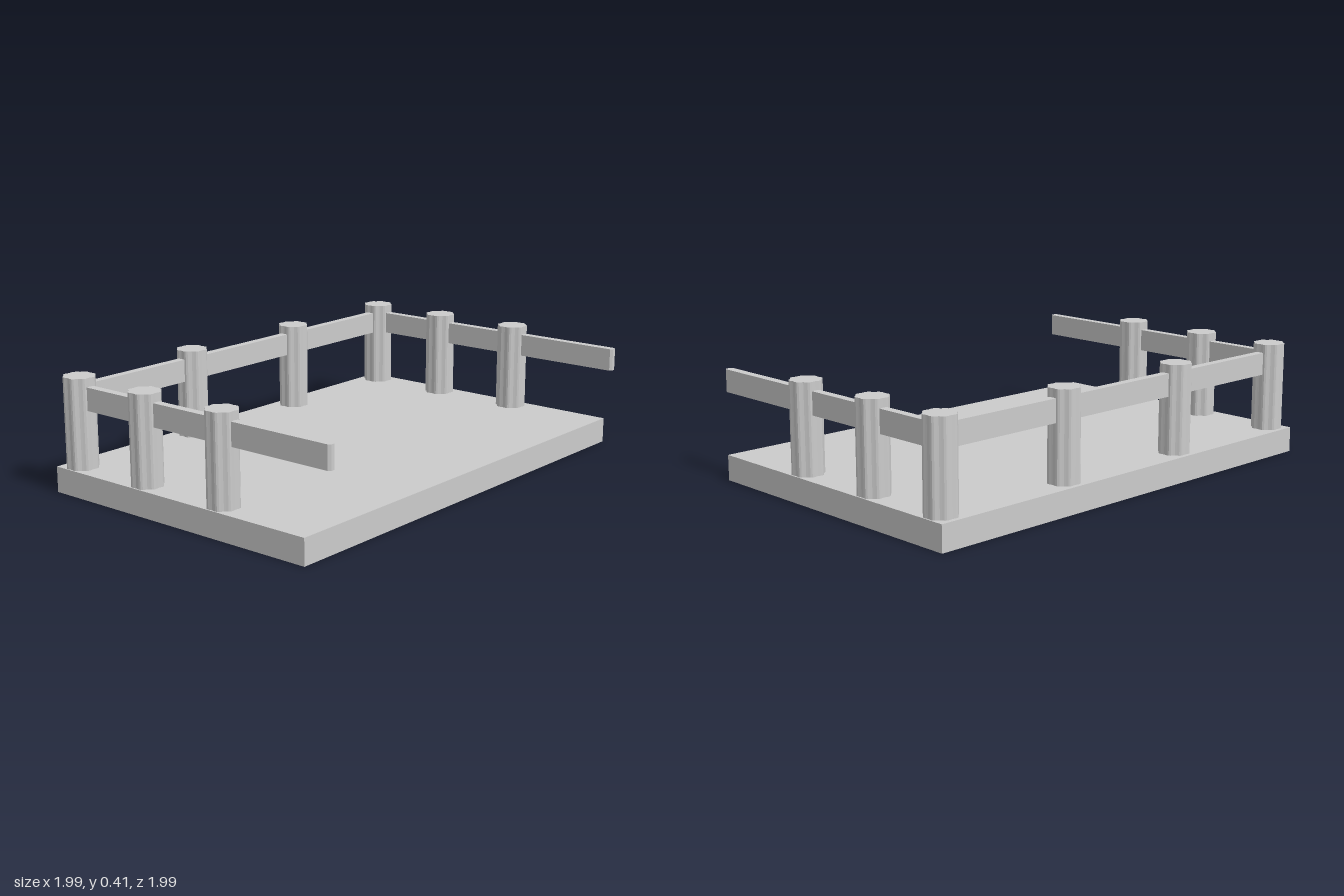
import * as THREE from 'three';

const material = new THREE.MeshStandardMaterial({ color: 0xcccccc, flatShading: true });

// Extrudes a plan outline upwards from y0 to y1
function upright(name, points, y0, y1) {
  const shape = new THREE.Shape(points.map(([x, y]) => new THREE.Vector2(x, y)));
  const geometry = new THREE.ExtrudeGeometry(shape, { depth: y1 - y0, bevelEnabled: false });
  geometry.rotateX(-Math.PI / 2).translate(0, y0, 0);
  const mesh = new THREE.Mesh(geometry, material);
  mesh.name = name;
  return mesh;
}

// Log post with eight shallow lobes
function post(x, z) {
  const outline = [];
  for (let i = 0; i < 48; i++) {
    const a = (i / 48) * Math.PI * 2;
    const r = 0.0535 - 0.0028 * Math.cos(8 * a);
    outline.push([r * Math.cos(a), r * Math.sin(a)]);
  }
  const mesh = upright('post', outline, 0.09, 0.405);
  mesh.position.set(x, 0, z);
  return mesh;
}

// Thin rail with softened ends, lying along x
function rail(name, length) {
  const h = length / 2, t = 0.015, c = 0.008;
  return upright(name, [
    [-h, -t + c], [-h + c, -t], [h - c, -t], [h, -t + c],
    [h, t - c], [h - c, t], [-h + c, t], [-h, t - c],
  ], 0.295, 0.375);
}

export function createModel() {
  const group = new THREE.Group();
  const deck = new THREE.Group();
  deck.name = 'fencedPlatform';
  deck.rotation.y = Math.PI / 4;
  group.add(deck);

  // Floor slab
  const slab = new THREE.Mesh(new THREE.BoxGeometry(1.704, 0.09, 1.103), material);
  slab.name = 'platform';
  slab.position.set(0, 0.045, -0.0105);
  deck.add(slab);

  // Back fence
  const backRail = rail('backRail', 1.59);
  backRail.position.z = -0.494;
  deck.add(backRail);

  // Mirrored posts and side rails that overhang the open edge
  for (const s of [-1, 1]) {
    deck.add(post(s * 0.272, -0.494));
    for (const z of [-0.494, -0.18, 0.16]) deck.add(post(s * 0.795, z));
    const side = rail(s > 0 ? 'leftRail' : 'rightRail', 1.1);
    side.rotation.y = Math.PI / 2;
    side.position.set(s * 0.795, 0, 0.054);
    deck.add(side);
  }
  return group;
}
